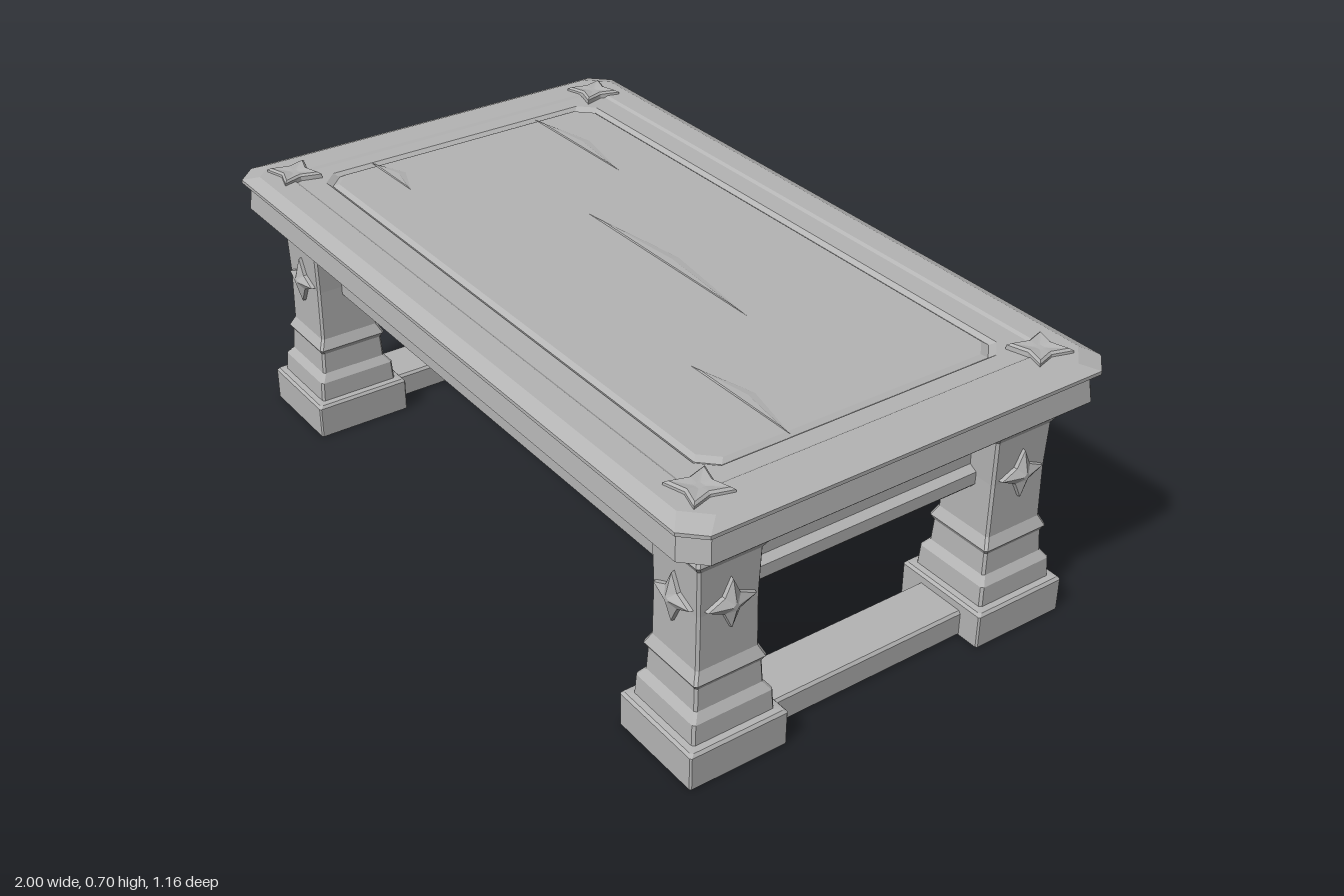
import * as THREE from 'three';

const stone = new THREE.MeshStandardMaterial({ color: 0xb4b4b4 });
stone.name = 'plain grey';

// Skin a stack of closed rings (each a list of [x, y, z]) with flat faces and end caps.
function loft(rings) {
  const pos = [];
  const tri = (...pts) => pts.forEach((p) => pos.push(...p));
  const n = rings[0].length;
  const centre = (ring) => [0, 1, 2].map((k) => ring.reduce((s, p) => s + p[k], 0) / n);
  const low = rings[0], high = rings[rings.length - 1];
  for (let i = 0; i < n; i++) {
    const j = (i + 1) % n;
    tri(centre(low), low[i], low[j]);
    tri(centre(high), high[j], high[i]);
    for (let r = 0; r < rings.length - 1; r++) {
      const a = rings[r], b = rings[r + 1];
      tri(a[i], b[i], a[j]);
      tri(a[j], b[i], b[j]);
    }
  }
  const geo = new THREE.BufferGeometry();
  geo.setAttribute('position', new THREE.Float32BufferAttribute(pos, 3));
  geo.computeVertexNormals();
  return geo;
}

// Rectangle with cut corners: half width, half depth, corner cut, height.
const rect = ([w, d, c, y]) => [
  [w, y, -d + c], [w, y, d - c], [w - c, y, d], [-w + c, y, d],
  [-w, y, d - c], [-w, y, -d + c], [-w + c, y, -d], [w - c, y, -d],
];
const block = (sections) => loft(sections.map(rect));

// Four-pointed star: tip radius, waist radius, height.
const star = ([tip, waist, y]) => Array.from({ length: 8 }, (_, i) => {
  const a = (i * Math.PI) / 4, r = i % 2 ? waist : tip;
  return [r * Math.cos(a), y, r * Math.sin(a)];
});

function add(parent, name, geo, x = 0, y = 0, z = 0) {
  const mesh = new THREE.Mesh(geo, stone);
  mesh.name = name;
  mesh.position.set(x, y, z);
  parent.add(mesh);
  return mesh;
}

export function createModel() {
  const table = new THREE.Group();
  table.name = 'table';

  // Moulded top with a stepped border and a sunken centre panel
  add(table, 'tableTop', block([
    [0.98, 0.56, 0.05, 0.585], [0.99, 0.57, 0.05, 0.595], [0.982, 0.564, 0.05, 0.655],
    [1.0, 0.58, 0.05, 0.666], [1.0, 0.58, 0.05, 0.675], [0.965, 0.547, 0.055, 0.69],
    [0.885, 0.485, 0.03, 0.69], [0.877, 0.477, 0.03, 0.685], [0.83, 0.418, 0.04, 0.685],
    [0.818, 0.406, 0.04, 0.676], [0.806, 0.394, 0.04, 0.684],
  ]));

  // Shallow wear marks on the top: x, z, length
  for (const [x, z, l] of [[-0.62, -0.25, 0.2], [0.06, -0.05, 0.32], [0.65, 0.18, 0.17], [-0.73, 0.25, 0.1]]) {
    add(table, 'wearMark', loft([
      [[l, 0, 0.01], [-l, 0, 0.015], [0, 0, -0.03]],
      [[l * 0.8, 0.003, 0.01], [-l * 0.8, 0.003, 0.012], [0, 0.003, -0.01]],
    ]), x, 0.684, z);
  }

  // Apron with a bottom moulding and a recessed underside
  add(table, 'apron', block([
    [0.765, 0.325, 0.04, 0.41], [0.785, 0.345, 0.04, 0.367], [0.845, 0.41, 0.01, 0.367],
    [0.855, 0.42, 0.01, 0.378], [0.855, 0.42, 0.01, 0.41], [0.835, 0.40, 0.01, 0.422],
    [0.835, 0.40, 0.01, 0.59],
  ]));

  // Legs with square bases, collars and star ornaments on the two outer faces
  const legGeo = block([
    [0.13, 0.13, 0.004, 0], [0.13, 0.13, 0.004, 0.085], [0.124, 0.124, 0.006, 0.092],
    [0.109, 0.109, 0.006, 0.094], [0.106, 0.106, 0.006, 0.145], [0.091, 0.091, 0.006, 0.165],
    [0.088, 0.088, 0.006, 0.222], [0.095, 0.095, 0.006, 0.235], [0.082, 0.082, 0.006, 0.262],
    [0.08, 0.08, 0.006, 0.4], [0.083, 0.083, 0.006, 0.515], [0.095, 0.095, 0.006, 0.535],
    [0.086, 0.086, 0.006, 0.56], [0.086, 0.086, 0.006, 0.59],
  ]);
  const legStar = loft([[0.066, 0.03, -0.005], [0.062, 0.028, 0.01], [0.01, 0.006, 0.024]].map(star));
  const topStar = loft([[0.075, 0.038, -0.008], [0.073, 0.036, 0.008], [0.062, 0.03, 0.013],
    [0.012, 0.008, 0.009]].map(star));
  for (const sx of [1, -1]) {
    for (const sz of [1, -1]) {
      const leg = new THREE.Group();
      leg.name = 'leg';
      leg.position.set(sx * 0.83, 0, sz * 0.408);
      add(leg, 'legPost', legGeo);
      add(leg, 'legStarEnd', legStar, 0, 0.41, sz * 0.08).rotation.x = (sz * Math.PI) / 2;
      add(leg, 'legStarSide', legStar, sx * 0.08, 0.41, 0).rotation.z = (-sx * Math.PI) / 2;
      table.add(leg);
      add(table, 'topStar', topStar, sx * 0.875, 0.688, sz * 0.465).rotation.y = Math.PI / 4;
    }
    // Low stretcher joining the front and back legs
    add(table, 'stretcher', block([
      [0.07, 0.3, 0.004, 0.003], [0.07, 0.3, 0.004, 0.06], [0.064, 0.3, 0.004, 0.067],
    ]), sx * 0.83);
  }

  // Drawer fronts with bevelled borders, and dividers between them
  for (const [x, w] of [[-0.522, 0.188], [0, 0.285], [0.522, 0.188]]) {
    add(table, 'drawerFront', block([
      [w, 0.076, 0.004, 0], [w, 0.076, 0.004, 0.012], [w - 0.008, 0.068, 0.004, 0.018],
      [w - 0.018, 0.058, 0.004, 0.018], [w - 0.026, 0.05, 0.004, 0.01],
    ]), x, 0.503, 0.398).rotation.x = Math.PI / 2;
  }
  for (const sx of [1, -1]) {
    add(table, 'drawerDivider', block([
      [0.02, 0.082, 0.003, 0], [0.02, 0.082, 0.003, 0.022], [0.012, 0.078, 0.003, 0.028],
    ]), sx * 0.31, 0.503, 0.398).rotation.x = Math.PI / 2;

    // Six-sided knobs
    const profile = [[0, 0], [0.026, 0], [0.026, 0.008], [0.012, 0.012], [0.012, 0.025],
      [0.027, 0.034], [0.024, 0.046], [0, 0.052]].map(([r, y]) => new THREE.Vector2(r, y));
    const knob = new THREE.LatheGeometry(profile, 6).toNonIndexed();
    knob.computeVertexNormals();
    add(table, 'knob', knob, sx * 0.517, 0.503, 0.406).rotation.x = Math.PI / 2;
  }

  // Bowed pull handle on the middle drawer with a mount at each end
  const handle = new THREE.Group();
  handle.name = 'handle';
  handle.position.set(0, 0.5, 0.408);
  const outer = [[-0.15, 0], [-0.15, 0.012], [-0.11, 0.014], [-0.075, 0.045], [0.075, 0.045],
    [0.11, 0.014], [0.15, 0.012], [0.15, 0], [0.1, 0], [0.068, 0.03], [-0.068, 0.03], [-0.1, 0]];
  const shape = new THREE.Shape(outer.map(([x, z]) => new THREE.Vector2(x, z)));
  const bar = new THREE.ExtrudeGeometry(shape, { depth: 0.038, bevelEnabled: false });
  bar.rotateX(Math.PI / 2);
  add(handle, 'handleBar', bar, 0, 0.019, 0);
  for (const sx of [1, -1]) {
    const bolt = new THREE.CylinderGeometry(0.01, 0.013, 0.02, 6).toNonIndexed();
    bolt.computeVertexNormals();
    add(handle, 'handleBolt', bolt, sx * 0.13, 0, 0.012).rotation.x = Math.PI / 2;
  }
  table.add(handle);

  return table;
}
